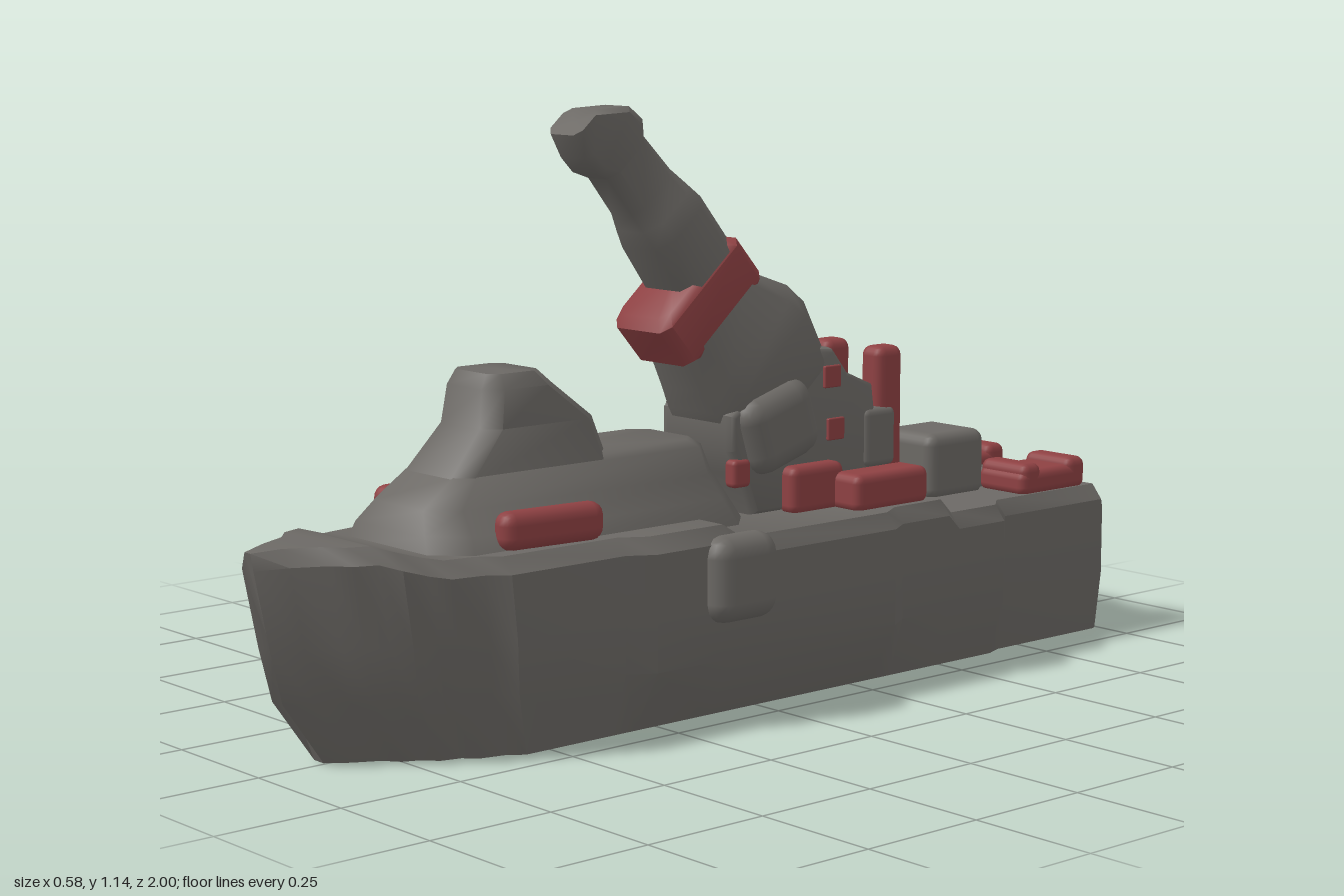
import * as THREE from 'three';
import { toCreasedNormals } from 'three/addons/utils/BufferGeometryUtils.js';
import { RoundedBoxGeometry } from 'three/addons/geometries/RoundedBoxGeometry.js';

const CX = -0.02; // the ship's centreline

// Surface through equal-length rings of [x, y, z] points; an open one leaves out its last strip
function loft(rings, crease = 0.7, open = false) {
  const n = rings[0].length, pos = rings.flat(2), idx = [];
  for (let i = 0; i < rings.length - 1; i++) {
    for (let j = 0; j < (open ? n - 1 : n); j++) {
      const k = (j + 1) % n, a = i * n, b = a + n;
      idx.push(a + j, a + k, b + k, a + j, b + k, b + j);
    }
  }
  // fan caps on both ends
  [0, rings.length - 1].forEach((r) => {
    const c = pos.length / 3;
    for (let d = 0; d < 3; d++) pos.push(rings[r].reduce((s, p) => s + p[d], 0) / n);
    for (let j = 0; j < n; j++) {
      const a = r * n + j, b = r * n + (j + 1) % n;
      if (r === 0) idx.push(c, b, a); else idx.push(c, a, b);
    }
  });
  const g = new THREE.BufferGeometry();
  g.setAttribute('position', new THREE.Float32BufferAttribute(pos, 3));
  g.setIndex(idx);
  return toCreasedNormals(g, crease);
}

// Horizontal rectangle with cut corners, for lofting upwards
function level(y, hx, z0, z1, cut = 0.03) {
  return [[hx - cut, z1], [hx, z1 - cut], [hx, z0 + cut], [hx - cut, z0],
    [cut - hx, z0], [-hx, z0 + cut], [-hx, z1 - cut], [cut - hx, z1]].map(([x, z]) => [x, y, z]);
}

// Hull cross-section from one lower edge over the deck to the other; the bow leans back lower down
function hullRing([z, w, top]) {
  const bow = THREE.MathUtils.clamp((z - 0.35) / 0.65, 0, 1);
  const foot = Math.min(w * (1 - 0.2 * bow) - 0.015 * (1 - bow), 0.205);
  const half = [
    [foot, 0, 0.14], [w * (1 - 0.1 * bow), 0.12, 0.055], [w, 0.22, 0.03],
    [w, top - 0.03, 0], [Math.max(w - 0.025, w * 0.5), top, 0],
  ];
  const ring = [...half, ...half.map(([x, y, lean]) => [-x, y, lean]).reverse()];
  return ring.map(([x, y, lean]) => [x, y, z - bow * lean]);
}

export function createModel() {
  const model = new THREE.Group();
  const grey = new THREE.MeshStandardMaterial({ color: 0x6c6965, side: THREE.DoubleSide });
  grey.name = 'hull grey';
  const red = new THREE.MeshStandardMaterial({ color: 0x8e4143 });
  red.name = 'dull red';

  const add = (name, geometry, material, parent = model) => {
    const m = new THREE.Mesh(geometry, material);
    m.name = name;
    parent.add(m);
    return m;
  };
  const box = (name, material, [x0, x1], [y0, y1], [z0, z1], r = 0.018) => {
    const m = add(name, new RoundedBoxGeometry(x1 - x0, y1 - y0, z1 - z0, 2, r), material);
    m.position.set((x0 + x1) / 2, (y0 + y1) / 2, (z0 + z1) / 2);
    return m;
  };

  // Hull shell, open underneath: z, half width, deck height
  const stations = [
    [-1, 0.195, 0.29], [-0.985, 0.205, 0.31], [-0.69, 0.205, 0.31], [-0.65, 0.24, 0.31],
    [-0.52, 0.24, 0.31], [-0.49, 0.24, 0.34], [-0.36, 0.24, 0.34], [-0.31, 0.27, 0.34],
    [0.07, 0.27, 0.34], [0.12, 0.27, 0.37], [0.3, 0.27, 0.37], [0.35, 0.24, 0.37],
    [0.61, 0.24, 0.37], [0.65, 0.21, 0.37], [0.71, 0.2, 0.37], [0.74, 0.175, 0.375],
    [0.79, 0.165, 0.39], [0.82, 0.135, 0.4], [0.86, 0.12, 0.4], [0.89, 0.085, 0.4],
    [0.95, 0.055, 0.4], [1, 0.018, 0.395],
  ];
  add('hull', loft(stations.map(hullRing), 0.6, true), grey).position.x = CX;
  box('sideBulge', grey, [0.205, 0.288], [0.19, 0.355], [0.02, 0.18], 0.04);

  // Forward deckhouse and its tall block
  add('deckhouse', loft([
    level(0.35, 0.19, -0.03, 0.71, 0.06), level(0.4, 0.165, -0.01, 0.7, 0.06),
    level(0.44, 0.125, 0.0, 0.68, 0.05), level(0.49, 0.1, 0.02, 0.61), level(0.505, 0.085, 0.04, 0.59),
  ], 0.9), grey).position.x = CX;
  add('bridge', loft([
    level(0.48, 0.1, 0.25, 0.62), level(0.57, 0.088, 0.28, 0.54),
    level(0.64, 0.082, 0.37, 0.53), level(0.667, 0.066, 0.4, 0.515, 0.02),
  ], 0.9), grey).position.x = CX;

  // Gun mount, extruded across the ship from its side outline
  const outline = new THREE.Shape([[-0.42, 0.34], [-0.09, 0.34], [-0.06, 0.42], [-0.03, 0.47], [-0.03, 0.54],
    [-0.2, 0.66], [-0.3, 0.65], [-0.34, 0.6], [-0.41, 0.57], [-0.42, 0.5]].map(([z, y]) => new THREE.Vector2(z, y)));
  const mount = new THREE.ExtrudeGeometry(outline, {
    depth: 0.17, bevelEnabled: true, bevelThickness: 0.02, bevelSize: 0.01, bevelOffset: -0.01, bevelSegments: 2,
  });
  mount.rotateY(-Math.PI / 2).translate(CX + 0.085, 0, 0);
  add('gunMount', toCreasedNormals(mount, 0.7), grey);
  // swelling of the mount around the pivot
  box('gunPivot', grey, [CX - 0.14, CX + 0.14], [0.43, 0.59], [-0.24, -0.055], 0.045).rotation.x = 0.3;

  // Raised gun, built along its own axis with the origin in the red collar
  const gun = new THREE.Group();
  gun.name = 'gun';
  gun.position.set(CX, 0.755, -0.005);
  gun.rotation.x = 0.72;
  model.add(gun);
  add('gunReceiver', loft([
    level(-0.31, 0.09, -0.12, 0.13, 0.04), level(-0.27, 0.112, -0.15, 0.15, 0.04), level(-0.17, 0.11, -0.175, 0.13, 0.04),
    level(-0.12, 0.1, -0.17, 0.12, 0.04), level(-0.03, 0.08, -0.12, 0.1),
  ], 1), grey, gun);
  add('gunCollar', loft([
    level(-0.06, 0.07, -0.12, 0.1, 0.02), level(-0.045, 0.082, -0.135, 0.122, 0.02),
    level(0.045, 0.082, -0.135, 0.122, 0.02), level(0.06, 0.07, -0.12, 0.1, 0.02),
  ], 0.9), red, gun);
  add('gunBarrel', loft([
    level(0.03, 0.08, -0.125, 0.03), level(0.16, 0.079, -0.13, 0.018), level(0.2, 0.07, -0.125, 0.012),
    level(0.24, 0.05, -0.12, 0.005, 0.02), level(0.33, 0.048, -0.115, 0.002, 0.02), level(0.36, 0.05, -0.13, 0.018, 0.015),
    level(0.4, 0.05, -0.122, 0.02, 0.015), level(0.45, 0.048, -0.06, 0.01, 0.015),
  ], 0.9), grey, gun);

  // Mirrored fittings
  for (const s of [-1, 1]) {
    const side = s > 0 ? 'left' : 'right';
    const span = (a, b) => [CX + s * a, CX + s * b].sort((p, q) => p - q);
    box(side + 'Post', red, span(0.045, 0.105), [0.34, 0.64], [-0.495, -0.425], 0.02);
    box(side + 'PostBracket', grey, span(0.05, 0.112), [0.4, 0.52], [-0.468, -0.38], 0.015);
    box(side + 'GunPad', red, span(0.12, 0.205), [0.335, 0.41], [-0.47, -0.27]);
    box(side + 'GunPadInner', red, span(0.07, 0.14), [0.335, 0.385], [-0.47, -0.27]);
    box(side + 'GunStep', red, span(0.09, 0.14), [0.335, 0.43], [-0.3, -0.16]);
    box(side + 'MountFoot', red, span(0.08, 0.112), [0.4, 0.455], [-0.075, -0.03], 0.01);
    // thin red spots on the mount cheeks
    for (const [y, z] of [[0.595, -0.29], [0.49, -0.3]]) {
      box(side + 'MountSpot', red, span(0.104, 0.113), [y - 0.022, y + 0.022], [z - 0.022, z + 0.022], 0.003);
    }
    // forward deck pads, the left one slightly narrower
    box(side + 'BowPad', red, span(0.155, s > 0 ? 0.21 : 0.225), [0.368, 0.44], [0.37, 0.59], 0.025).rotation.y = -s * 0.08;
    // stern pads, each with a sunken middle
    box(side + 'SternPad', red, span(0.05, 0.18), [0.305, 0.357], [-0.965, -0.77]);
    for (const [z0, z1] of [[-0.83, -0.775], [-0.965, -0.91]]) {
      box(side + 'SternPadRidge', red, span(0.05, 0.18), [0.315, 0.372], [z0, z1]);
    }
  }

  // Stern housing and the low spine between the pads
  box('sternHousing', grey, [CX - 0.08, CX + 0.08], [0.3, 0.44], [-0.765, -0.6], 0.025);
  box('sternSpine', grey, [CX - 0.05, CX + 0.05], [0.3, 0.335], [-0.96, -0.74], 0.015);

  return model;
}
